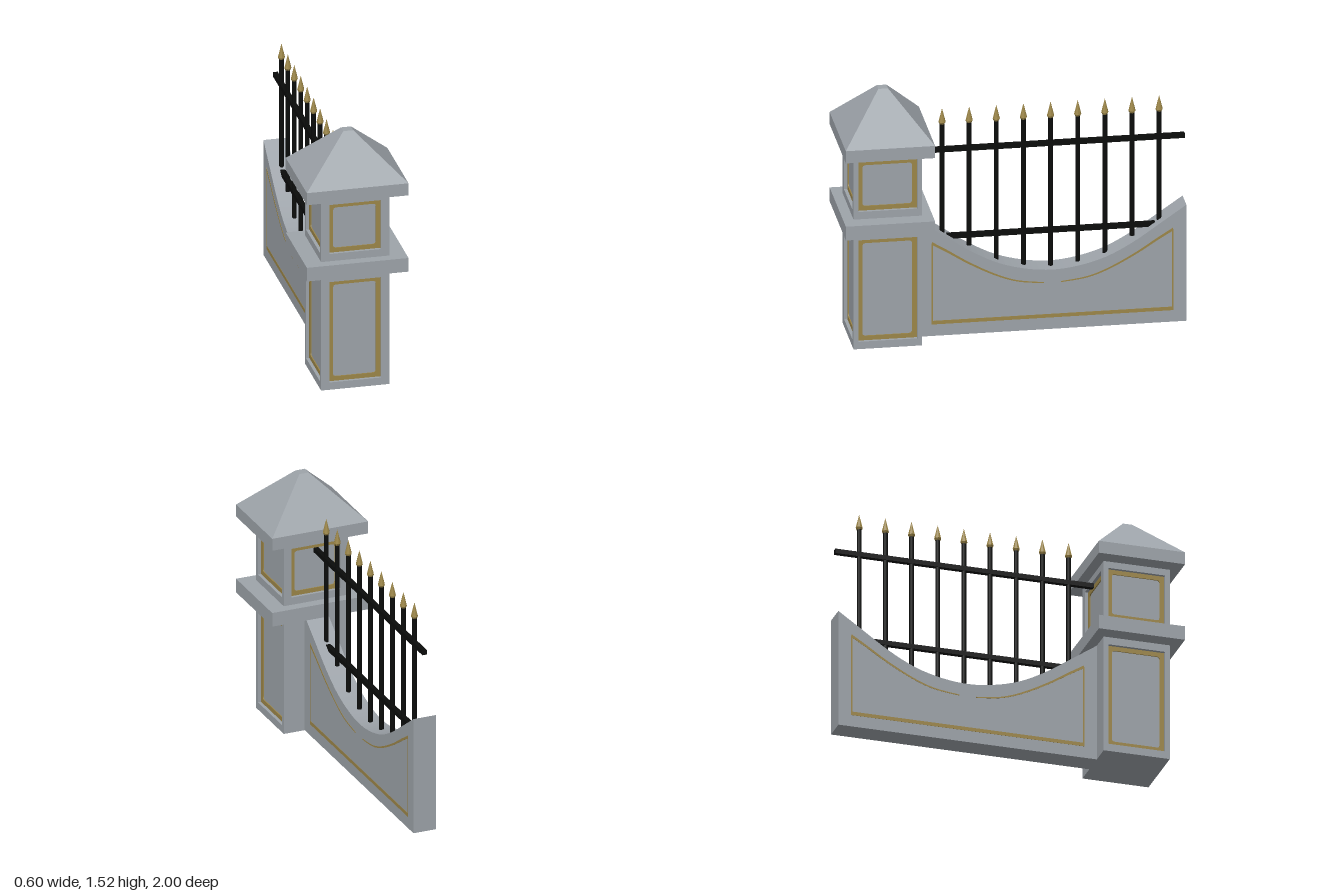
import * as THREE from 'three';

const stone = new THREE.MeshStandardMaterial({ color: 0x9da3a9 });
stone.name = 'stone grey';
const gold = new THREE.MeshStandardMaterial({ color: 0x9c8648 });
gold.name = 'dull gold';
const iron = new THREE.MeshStandardMaterial({ color: 0x0b0c0b });
iron.name = 'black iron';

const PILLAR_Z = 0.7425, WALL_Z = -0.2275, HALF_WALL = 0.7725;
const HX = 0.2, HZ = 0.1975, RECESS = 0.025;

function add(parent, name, geometry, material, x = 0, y = 0, z = 0) {
  const mesh = new THREE.Mesh(geometry, material);
  mesh.name = name;
  mesh.position.set(x, y, z);
  parent.add(mesh);
  return mesh;
}

// Rectangle outline with optional rounded corners
function rect(path, hw, y0, y1, r = 0) {
  if (r === 0) {
    return path.moveTo(-hw, y0).lineTo(hw, y0).lineTo(hw, y1).lineTo(-hw, y1).lineTo(-hw, y0);
  }
  path.moveTo(-hw + r, y0).lineTo(hw - r, y0).quadraticCurveTo(hw, y0, hw, y0 + r);
  path.lineTo(hw, y1 - r).quadraticCurveTo(hw, y1, hw - r, y1);
  path.lineTo(-hw + r, y1).quadraticCurveTo(-hw, y1, -hw, y1 - r);
  return path.lineTo(-hw, y0 + r).quadraticCurveTo(-hw, y0, -hw + r, y0);
}

// Flat extruded frame: outer rectangle minus inner rectangle
function frameGeometry(outer, inner, depth) {
  const shape = rect(new THREE.Shape(), ...outer);
  shape.holes.push(rect(new THREE.Path(), ...inner));
  return new THREE.ExtrudeGeometry(shape, { depth, bevelEnabled: false, curveSegments: 4 });
}

// One pillar storey: inset core, stone borders around recessed panels, gold trims
function pillarSection(parent, y0, y1, p0, p1, backPanel) {
  const group = new THREE.Group();
  group.name = 'pillarSection';
  parent.add(group);
  add(group, 'core', new THREE.BoxGeometry(2 * (HX - RECESS), y1 - y0, 2 * (HZ - RECESS)), stone, 0, (y0 + y1) / 2);
  for (let k = 0; k < 4; k++) {
    const side = new THREE.Group();
    side.name = 'pillarSide';
    side.rotation.y = k * Math.PI / 2;
    group.add(side);
    const alongX = k % 2 === 0;
    const half = alongX ? HX - RECESS : HZ;
    const floor = (alongX ? HZ : HX) - RECESS;
    if (k === 2 && !backPanel) {
      add(side, 'plainFace', new THREE.BoxGeometry(2 * half, y1 - y0, RECESS), stone, 0, (y0 + y1) / 2, floor + RECESS / 2);
      continue;
    }
    const pw = alongX ? 0.152 : 0.17;
    const t = 0.027;
    add(side, 'panelBorder', frameGeometry([half, y0, y1], [pw, p0, p1], RECESS), stone, 0, 0, floor);
    add(side, 'panelTrim', frameGeometry([pw, p0, p1], [pw - t, p0 + t, p1 - t, 0.018], 0.006), gold, 0, 0, floor);
  }
}

function buildPillar() {
  const pillar = new THREE.Group();
  pillar.name = 'pillar';
  pillar.position.z = PILLAR_Z;
  pillarSection(pillar, 0, 0.715, 0.045, 0.67, false);
  pillarSection(pillar, 0.8, 1.19, 0.845, 1.15, true);
  add(pillar, 'middleBand', new THREE.BoxGeometry(0.596, 0.085, 0.515), stone, 0, 0.7575);
  add(pillar, 'capSlab', new THREE.BoxGeometry(0.596, 0.075, 0.515), stone, 0, 1.2275);
  // Truncated pyramid roof: a box with its top drawn in
  const roof = new THREE.BoxGeometry(0.596, 0.26, 0.515);
  const pos = roof.attributes.position;
  for (let i = 0; i < pos.count; i++) {
    if (pos.getY(i) > 0) {
      pos.setX(i, Math.sign(pos.getX(i)) * 0.029);
      pos.setZ(i, Math.sign(pos.getZ(i)) * 0.028);
    }
  }
  roof.computeVertexNormals();
  add(pillar, 'capRoof', roof, stone, 0, 1.395);
  return pillar;
}

function splinePoints(pairs, n) {
  return new THREE.SplineCurve(pairs.map(([u, v]) => new THREE.Vector2(u, v))).getPoints(n);
}

function buildWall() {
  const wall = new THREE.Group();
  wall.name = 'wall';
  wall.position.z = WALL_Z;

  // Stone body with a symmetric dipped top
  const half = [[0.15, 0.38], [0.31, 0.425], [0.465, 0.505], [0.62, 0.61], [HALF_WALL, 0.715]];
  const full = [...half.map(([u, v]) => [-u, v]).reverse(), [0, 0.365], ...half];
  const top = splinePoints(full, 40).reverse();
  const outline = new THREE.Shape([
    new THREE.Vector2(-HALF_WALL, 0), new THREE.Vector2(HALF_WALL, 0), ...top]);
  const body = new THREE.ExtrudeGeometry(outline, { depth: 0.14, bevelEnabled: false });
  body.translate(0, 0, -0.07);
  add(wall, 'wallBody', body, stone).rotation.y = Math.PI / 2;

  // Gold line work on both faces; the curved strokes taper toward the centre
  const stroke = splinePoints([[0.05, 0.288], [0.2, 0.308], [0.33, 0.355], [0.48, 0.435], [0.6, 0.512], [0.695, 0.57]], 20);
  const edge = (s, mirror) => stroke.map((p, i) =>
    new THREE.Vector2(mirror * p.x, p.y + s * (0.003 + 0.006 * i / 20)));
  for (const turn of [1, -1]) {
    const face = new THREE.Group();
    face.name = 'wallTrim';
    face.rotation.y = turn * Math.PI / 2;
    wall.add(face);
    for (const m of [1, -1]) {
      const shape = new THREE.Shape([...edge(-1, m), ...edge(1, m).reverse()]);
      add(face, 'curvedLine', new THREE.ExtrudeGeometry(shape, { depth: 0.002, bevelEnabled: false }), gold, 0, 0, 0.0695);
      add(face, 'sideLine', new THREE.BoxGeometry(0.009, 0.495, 0.002), gold, m * 0.693, 0.3225, 0.0705);
    }
    add(face, 'bottomLine', new THREE.BoxGeometry(1.395, 0.022, 0.002), gold, 0, 0.082, 0.0705);
  }
  return wall;
}

function buildFence() {
  const fence = new THREE.Group();
  fence.name = 'fence';
  add(fence, 'upperRail', new THREE.BoxGeometry(0.028, 0.028, 1.545), iron, 0, 1.118, WALL_Z);
  add(fence, 'lowerRail', new THREE.BoxGeometry(0.028, 0.028, 1.26), iron, 0, 0.583, WALL_Z);

  const bar = new THREE.CylinderGeometry(0.014, 0.014, 1, 12);
  const profile = [[0, 1.272], [0.014, 1.274], [0.021, 1.287], [0, 1.372]].map(([r, y]) => new THREE.Vector2(r, y));
  const tip = new THREE.LatheGeometry(profile, 8).toNonIndexed();
  tip.computeVertexNormals();
  for (let i = 0; i < 9; i++) {
    const z = 0.3985 - 0.1565 * i;
    // Each bar is sunk a little into the wall top
    const u = Math.abs(z - WALL_Z);
    const bottom = 0.33 + 0.25 * u / 0.62 * Math.min(1, u / 0.45);
    const mesh = add(fence, 'bar', bar, iron, 0, (bottom + 1.278) / 2, z);
    mesh.scale.y = 1.278 - bottom;
    add(fence, 'spearTip', tip, gold, 0, 0, z);
  }
  return fence;
}

export function createModel() {
  const model = new THREE.Group();
  model.name = 'fencePillarAndWall';
  model.add(buildPillar(), buildWall(), buildFence());
  return model;
}
